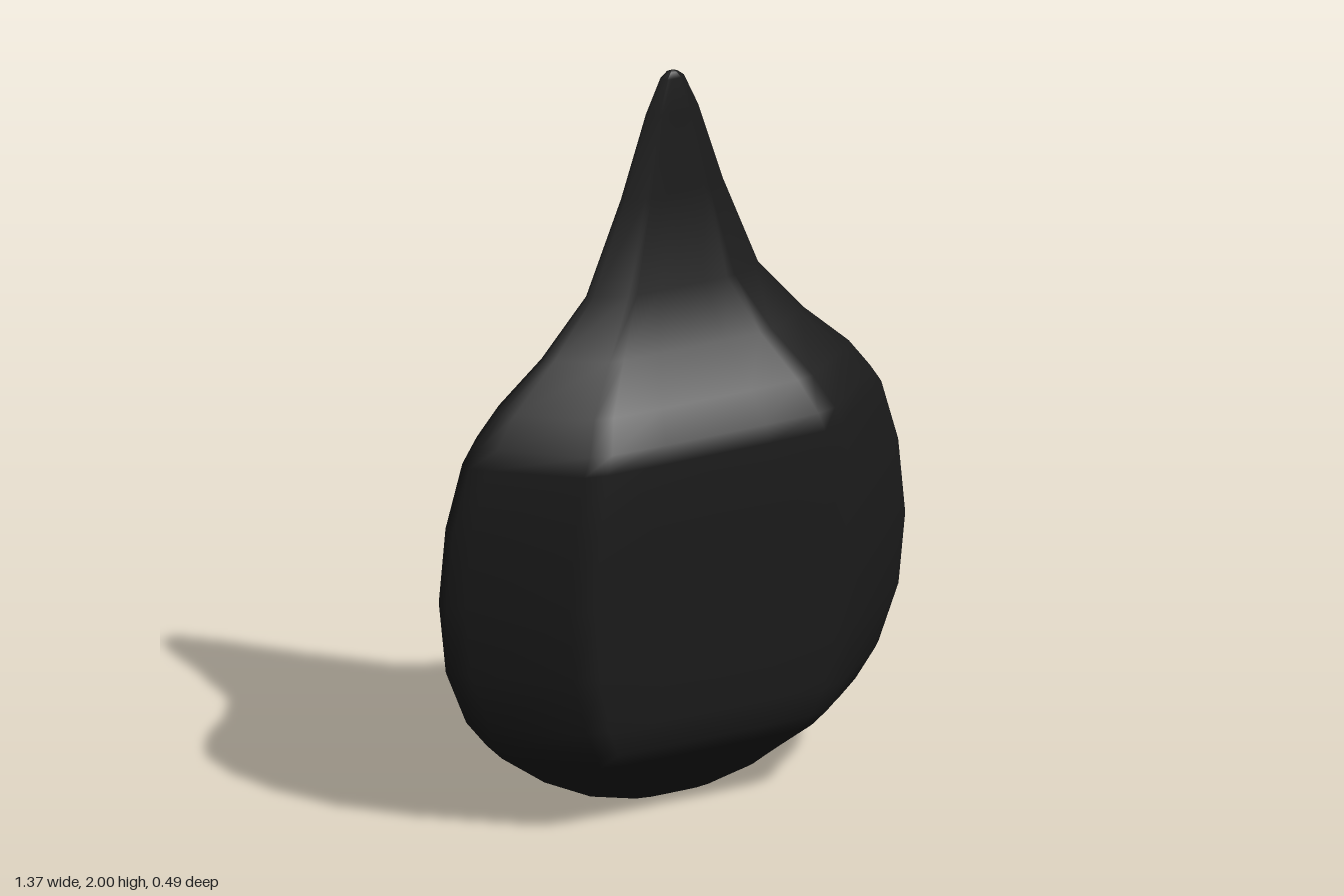
import * as THREE from 'three';

// Level heights with half width and half depth, bottom to top
const LEVELS = [
  [0.004, 0.11, 0.01], [0.035, 0.24, 0.04], [0.1, 0.375, 0.105], [0.19, 0.5, 0.197],
  [0.235, 0.545, 0.23], [0.31, 0.605, 0.242], [0.46, 0.665, 0.244], [0.65, 0.685, 0.244],
  [0.85, 0.665, 0.244], [1.02, 0.615, 0.241], [1.07, 0.582, 0.234], [1.15, 0.52, 0.182],
  [1.27, 0.385, 0.108], [1.42, 0.253, 0.055], [1.67, 0.15, 0.033], [1.89, 0.077, 0.022],
  [1.98, 0.035, 0.016], [1.995, 0.016, 0.009],
];

// A quarter of the cross-section: narrow rim, straight bevel, flat face
const QUARTER = [[1, 0], [0.985, 0.08], [0.935, 0.23], [0.62, 0.92], [0.52, 0.98], [0.25, 1], [0, 1]];

function fullSection() {
  const half = [...QUARTER, ...QUARTER.slice(0, -1).reverse().map(([x, z]) => [-x, z])];
  return [...half, ...half.slice(1, -1).reverse().map(([x, z]) => [x, -z])];
}

function loft(levels, section, bottomY, topY) {
  const n = section.length;
  const positions = [];
  const index = [];
  for (const [y, w, d] of levels) {
    for (const [x, z] of section) positions.push(x * w, y, z * d);
  }
  const bottom = levels.length * n;
  const top = bottom + 1;
  positions.push(0, bottomY, 0, 0, topY, 0);

  const last = (levels.length - 1) * n;
  for (let j = 0; j < n; j++) {
    const k = (j + 1) % n;
    for (let r = 0; r < last; r += n) {
      index.push(r + j, r + n + j, r + k, r + k, r + n + j, r + n + k);
    }
    index.push(bottom, j, k, top, last + k, last + j);
  }
  const geometry = new THREE.BufferGeometry();
  geometry.setAttribute('position', new THREE.Float32BufferAttribute(positions, 3));
  geometry.setIndex(index);
  geometry.computeVertexNormals();
  return geometry;
}

export function createModel() {
  const group = new THREE.Group();
  group.name = 'flattenedTeardrop';
  // Smooth flattened drop with a tapering tip
  const body = new THREE.Mesh(
    loft(LEVELS, fullSection(), 0, 2),
    new THREE.MeshStandardMaterial({ color: 0x1a1a1a }),
  );
  body.name = 'teardropBody';
  group.add(body);
  return group;
}
